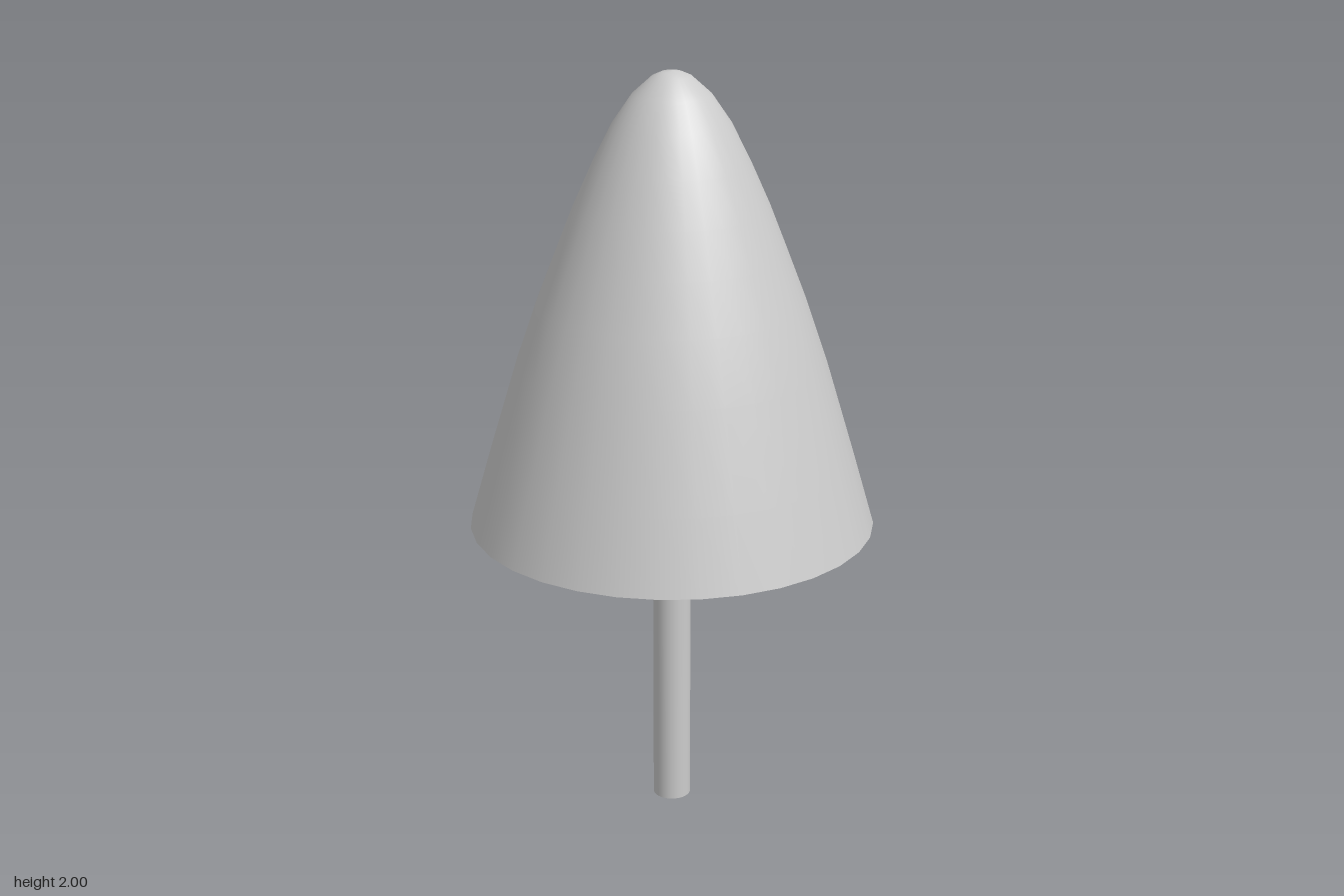
import * as THREE from 'three';

const SIDES = 32;
const RIM_RADIUS = 0.53;
const RIM_HEIGHT = 0.81;

export function createModel() {
  const tree = new THREE.Group();
  tree.name = 'tree';
  const material = new THREE.MeshStandardMaterial({ color: 0xcccccc, side: THREE.DoubleSide });

  const add = (name, geometry, y = 0) => {
    const mesh = new THREE.Mesh(geometry, material);
    mesh.name = name;
    mesh.position.y = y;
    tree.add(mesh);
  };

  // Rounded conical crown, revolved from rim to tip
  const profile = [
    [RIM_RADIUS, RIM_HEIGHT], [0.475, 1.0], [0.4, 1.25], [0.345, 1.41], [0.295, 1.54], [0.25, 1.655],
    [0.2, 1.767], [0.15, 1.867], [0.1, 1.94], [0.05, 1.985], [0.025, 1.996], [0, 2],
  ].map(([r, y]) => new THREE.Vector2(r, y));
  add('crown', new THREE.LatheGeometry(profile, SIDES));

  // Flat disc closing the crown from below
  add('crownUnderside', new THREE.CircleGeometry(RIM_RADIUS, SIDES).rotateX(Math.PI / 2), RIM_HEIGHT);

  // Slim trunk, ending just short of the crown
  add('trunk', new THREE.CylinderGeometry(0.05, 0.05, 0.8, SIDES), 0.4);

  return tree;
}
